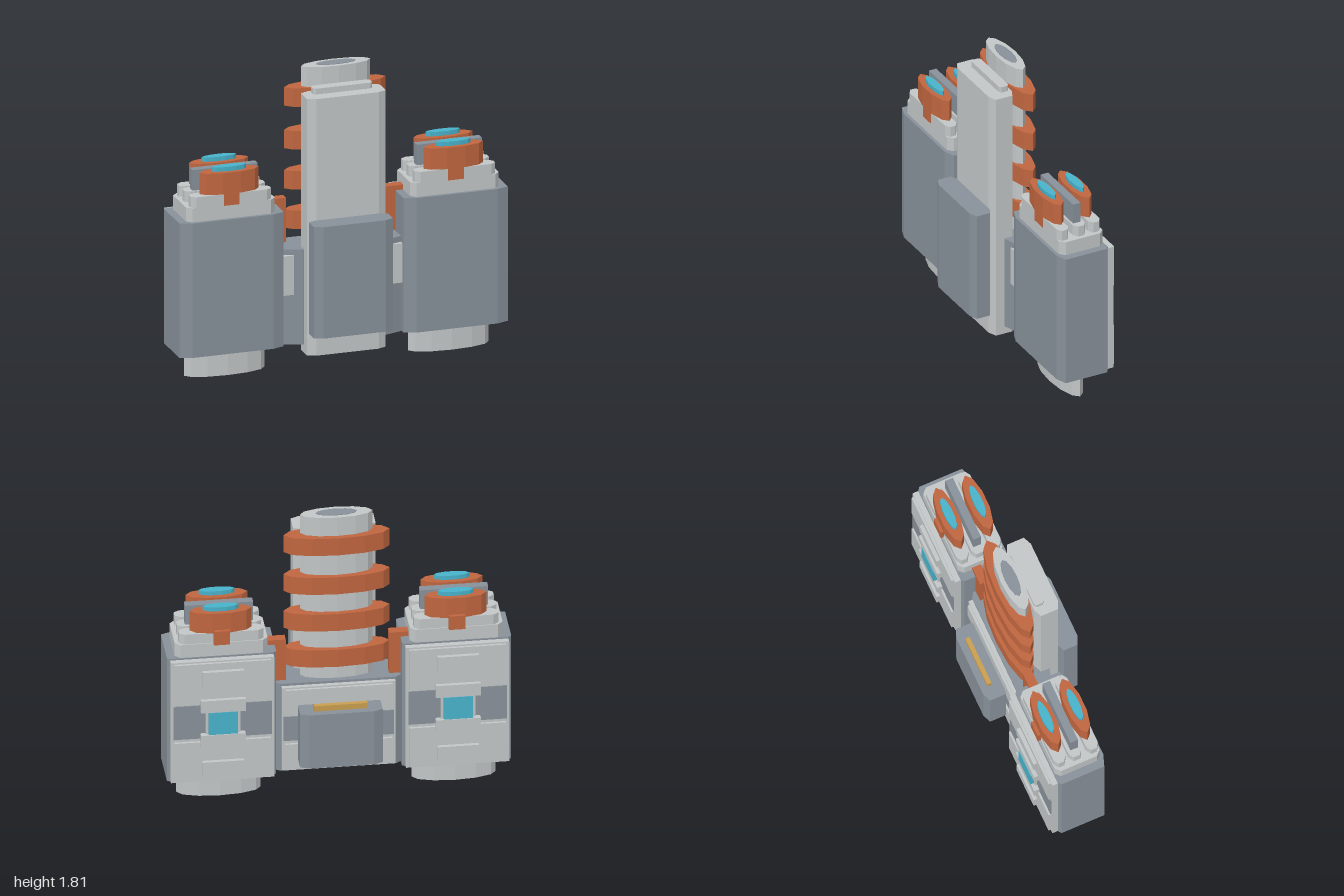
import * as THREE from 'three';

const mat = (name, color) => { const m = new THREE.MeshStandardMaterial({ color }); m.name = name; return m; };

export function createModel() {
  const light = mat('light grey', 0xc2c6c6), dark = mat('slate grey', 0x88919a);
  const orange = mat('copper orange', 0xc0663f), cyan = mat('cyan', 0x48b2ca), gold = mat('gold', 0xc99e50);
  const model = new THREE.Group();

  const add = (parent, name, geo, material) => {
    const mesh = new THREE.Mesh(geo, material);
    mesh.name = name;
    parent.add(mesh);
    return mesh;
  };

  // Box given by its extents
  const box = (parent, name, material, [x0, x1], [y0, y1], [z0, z1]) => {
    const g = new THREE.BoxGeometry(x1 - x0, y1 - y0, z1 - z0);
    g.translate((x0 + x1) / 2, (y0 + y1) / 2, (z0 + z1) / 2);
    return add(parent, name, g, material);
  };

  // Upright block, symmetric in x, with cut front [x, z] and back [x, z] corners
  const block = (parent, name, material, w, [y0, y1], [z0, z1], f, b = f) => {
    const pts = [
      [-w, -z1 + f[1]], [-w + f[0], -z1], [w - f[0], -z1], [w, -z1 + f[1]],
      [w, -z0 - b[1]], [w - b[0], -z0], [-w + b[0], -z0], [-w, -z0 - b[1]],
    ];
    const shape = new THREE.Shape(pts.map(p => new THREE.Vector2(...p)));
    const g = new THREE.ExtrudeGeometry(shape, { depth: y1 - y0, bevelEnabled: false });
    g.rotateX(-Math.PI / 2).translate(0, y0, 0);
    return add(parent, name, g, material);
  };

  // Faceted elliptical drum
  const drum = (parent, name, material, rx, rz, [y0, y1], z, sides = 12) => {
    const g = new THREE.CylinderGeometry(1, 1, 1, sides, 1, false, Math.PI / 2).toNonIndexed();
    g.scale(rx, y1 - y0, rz).translate(0, (y0 + y1) / 2, z);
    g.computeVertexNormals();
    return add(parent, name, g, material);
  };

  // Side pods
  for (const s of [1, -1]) {
    const pod = new THREE.Group();
    pod.name = s > 0 ? 'leftPod' : 'rightPod';
    pod.position.x = s * 0.6825;
    model.add(pod);

    block(pod, 'podBody', dark, 0.3175, [0.16, 0.98], [-0.185, 0.125], [0.07, 0.025], [0.02, 0.015]);
    drum(pod, 'nozzle', light, 0.245, 0.072, [0, 0.16], -0.033);
    drum(pod, 'nozzleGlow', cyan, 0.165, 0.046, [-0.002, 0.004], -0.033);

    // Stepped cap with three ridges
    block(pod, 'podCap', light, 0.27, [0.98, 1.065], [-0.18, 0.105], [0.03, 0.03]);
    for (const [z0, z1] of [[-0.175, -0.1], [-0.08, 0], [0.03, 0.105]])
      block(pod, 'capRidge', light, 0.245, [1.065, 1.13], [z0, z1], [0.03, 0.02]);
    box(pod, 'capFin', dark, [-0.198, 0.198], [1.06, 1.255], [-0.06, -0.012]);

    // Orange emitters with cyan lenses
    for (const [z, out] of [[0.056, 1], [-0.128, -1]]) {
      drum(pod, 'emitter', orange, 0.18, 0.055, [1.13, 1.26], z, 10);
      drum(pod, 'emitterLens', cyan, 0.104, 0.027, [1.25, 1.286], z, 10);
      const zo = z + out * 0.051;
      box(pod, 'emitterTab', orange, [-0.047, 0.047], [1.06, 1.15], [zo - 0.02, zo + 0.001]);
    }

    // Rear armour
    const back = new THREE.Group();
    back.name = 'rearArmour';
    pod.add(back);
    box(back, 'backPlate', light, [-0.3, 0.3], [0.17, 0.97], [-0.22, -0.18]);
    box(back, 'midPanel', dark, [-0.285, 0.285], [0.46, 0.68], [-0.226, -0.218]);
    for (const m of [1, -1]) {
      const span = (a, b) => [0.57 + m * a, 0.57 + m * b].sort((p, q) => p - q);
      box(back, 'armourPanel', light, [-0.28, 0.28], span(0.13, 0.39), [-0.235, -0.215]);
      box(back, 'armourHandle', light, [-0.12, 0.12], span(0.255, 0.345), [-0.258, -0.23]);
      box(back, 'windowBracket', light, [-0.13, 0.13], span(0.075, 0.155), [-0.258, -0.215]);
    }
    box(back, 'windowFrame', light, [-0.1, 0.1], [0.49, 0.65], [-0.24, -0.215]);
    box(back, 'rearWindow', cyan, [-0.085, 0.085], [0.5, 0.645], [-0.262, -0.235]);

    // Arm joining the pod to the centre
    const arm = [0.3, 0.42].map(v => v * s).sort((p, q) => p - q);
    box(model, 'podArm', orange, arm, [0.74, 1.01], [-0.1, -0.045]);

    // Pale inset panel beside the column
    const inset = [0.295, 0.37].map(v => v * s).sort((p, q) => p - q);
    box(model, 'insetPanel', light, inset, [0.46, 0.7], [0.03, 0.083]);
  }

  // Central base
  block(model, 'baseBody', dark, 0.365, [0.155, 0.735], [-0.135, 0.095], [0.12, 0.04], [0.03, 0.02]);
  box(model, 'basePlate', light, [-0.33, 0.33], [0.17, 0.72], [-0.16, -0.13]);
  box(model, 'baseMidPanel', dark, [-0.32, 0.32], [0.37, 0.53], [-0.166, -0.158]);
  for (const y of [[0.18, 0.35], [0.55, 0.71]])
    box(model, 'baseArmourPanel', light, [-0.31, 0.31], y, [-0.175, -0.155]);

  // Rear pack with gold bar
  block(model, 'rearPack', dark, 0.24, [0.255, 0.61], [-0.3, -0.16], [0.05, 0.02]);
  box(model, 'packBar', gold, [-0.155, 0.155], [0.6, 0.645], [-0.26, -0.233]);

  // Coil tube
  drum(model, 'coreTube', light, 0.21, 0.063, [0.7, 1.805], -0.042);
  drum(model, 'coreTubeBore', dark, 0.12, 0.037, [1.8, 1.808], -0.042);
  for (const y of [0.825, 1.065, 1.31, 1.57])
    drum(model, 'coilRing', orange, 0.308, 0.079, [y, y + 0.113], -0.056);

  // Front column and its armour slab
  block(model, 'frontColumn', light, 0.24, [0.105, 1.67], [0.02, 0.17], [0.05, 0.022]);
  block(model, 'columnCap', light, 0.18, [1.67, 1.705], [0.03, 0.092], [0.015, 0.012]);
  block(model, 'frontSlab', dark, 0.24, [0.25, 0.93], [0.165, 0.295], [0.05, 0.022]);

  return model;
}
